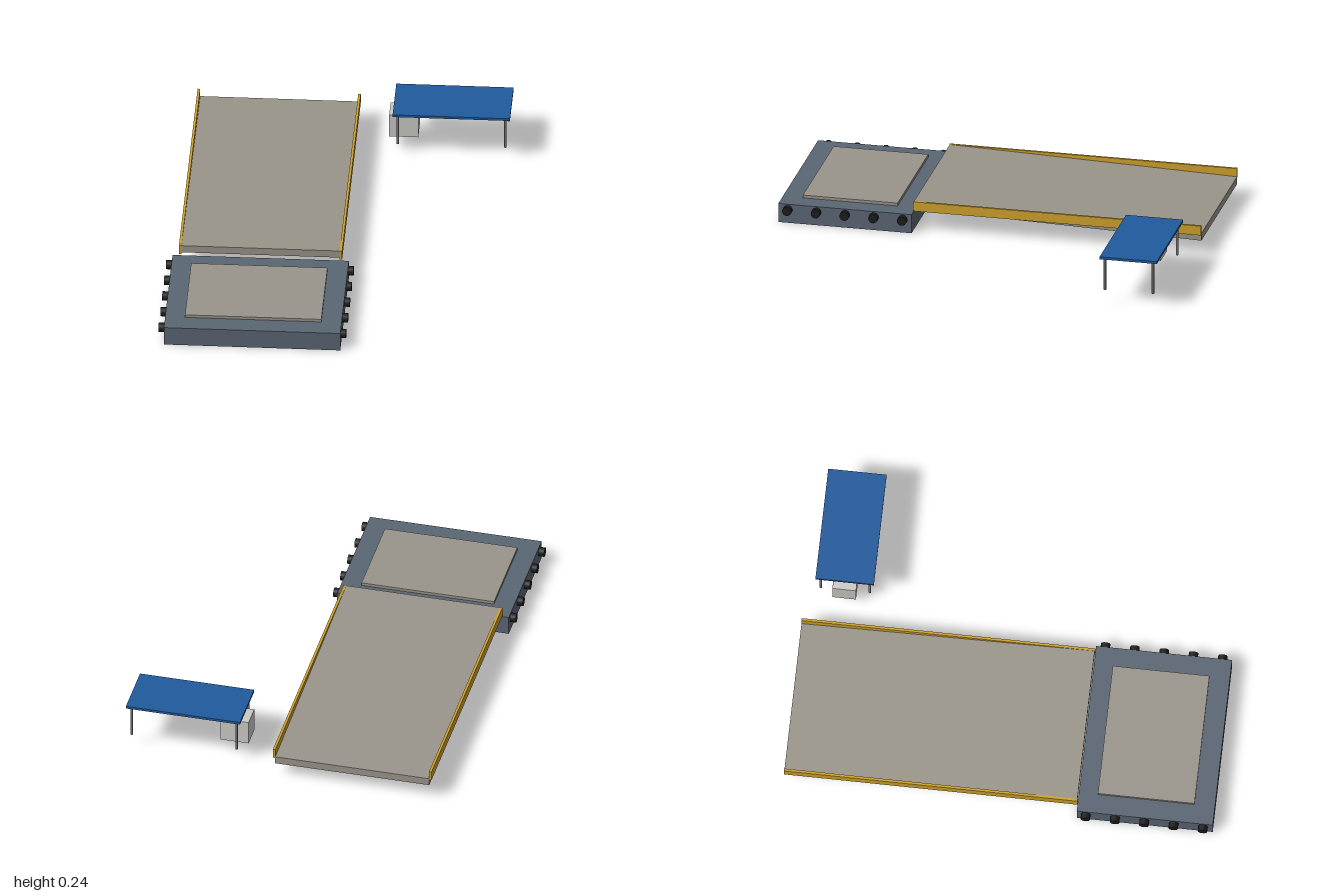
import * as THREE from 'three';

const mat = (name, color) => Object.assign(new THREE.MeshStandardMaterial({ color }), { name });

export function createModel() {
  const group = new THREE.Group();
  const hull = mat('slate hull', 0x5b6674);
  const plank = mat('weathered deck', 0x9a958b);
  const yellow = mat('safety yellow', 0xcfa22c);
  const blue = mat('canopy blue', 0x205a9c);
  const pale = mat('pale grey', 0xcbccc7);
  const steel = mat('steel grey', 0x737577);
  const rubber = mat('black rubber', 0x1c1c1c);

  const add = (name, geometry, material, x = 0, y = 0, z = 0) => {
    const mesh = new THREE.Mesh(geometry, material);
    mesh.name = name;
    mesh.position.set(x, y, z);
    group.add(mesh);
    return mesh;
  };
  // box given by its min and max on each axis
  const box = (name, material, [x0, x1], [y0, y1], [z0, z1]) =>
    add(name, new THREE.BoxGeometry(x1 - x0, y1 - y0, z1 - z0), material,
      (x0 + x1) / 2, (y0 + y1) / 2, (z0 + z1) / 2);

  // floating pontoon with an inset deck plate
  box('pontoon', hull, [-0.738, 0.08], [0, 0.092], [0.367, 1]);
  box('pontoonDeck', plank, [-0.646, -0.014], [0.09, 0.106], [0.455, 0.905]);

  // round fenders along both sides
  const fender = new THREE.CylinderGeometry(0.022, 0.022, 0.05, 16).rotateZ(Math.PI / 2);
  for (const x of [-0.74, 0.08])
    for (let i = 0; i < 5; i++) add('fender', fender, rubber, x, 0.065, 0.409 + i * 0.1365);

  // ramp: a slab sheared so it falls towards the back
  const ramp = new THREE.BoxGeometry(0.735, 0.036, 1.365);
  const p = ramp.attributes.position;
  for (let i = 0; i < p.count; i++) p.setY(i, p.getY(i) + p.getZ(i) * 0.0286);
  ramp.computeVertexNormals();
  add('ramp', ramp, plank, -0.33, 0.1055, -0.3175);

  // level side rails
  for (const side of [-1, 1]) {
    const x = -0.33 + side * 0.3725;
    box('sideRail', yellow, [x - 0.006, x + 0.006], [0.098, 0.144], [-1, 0.367]);
  }

  // canopy on four posts, with a cabinet beneath its inner edge
  box('canopyRoof', blue, [0.216, 0.76], [0.225, 0.237], [-0.955, -0.683]);
  const post = new THREE.CylinderGeometry(0.006, 0.006, 0.16, 10);
  for (const x of [0.238, 0.738])
    for (const z of [-0.932, -0.704]) add('canopyPost', post, steel, x, 0.148, z);
  box('cabinet', pale, [0.195, 0.33], [0.068, 0.185], [-0.874, -0.764]);

  return group;
}
